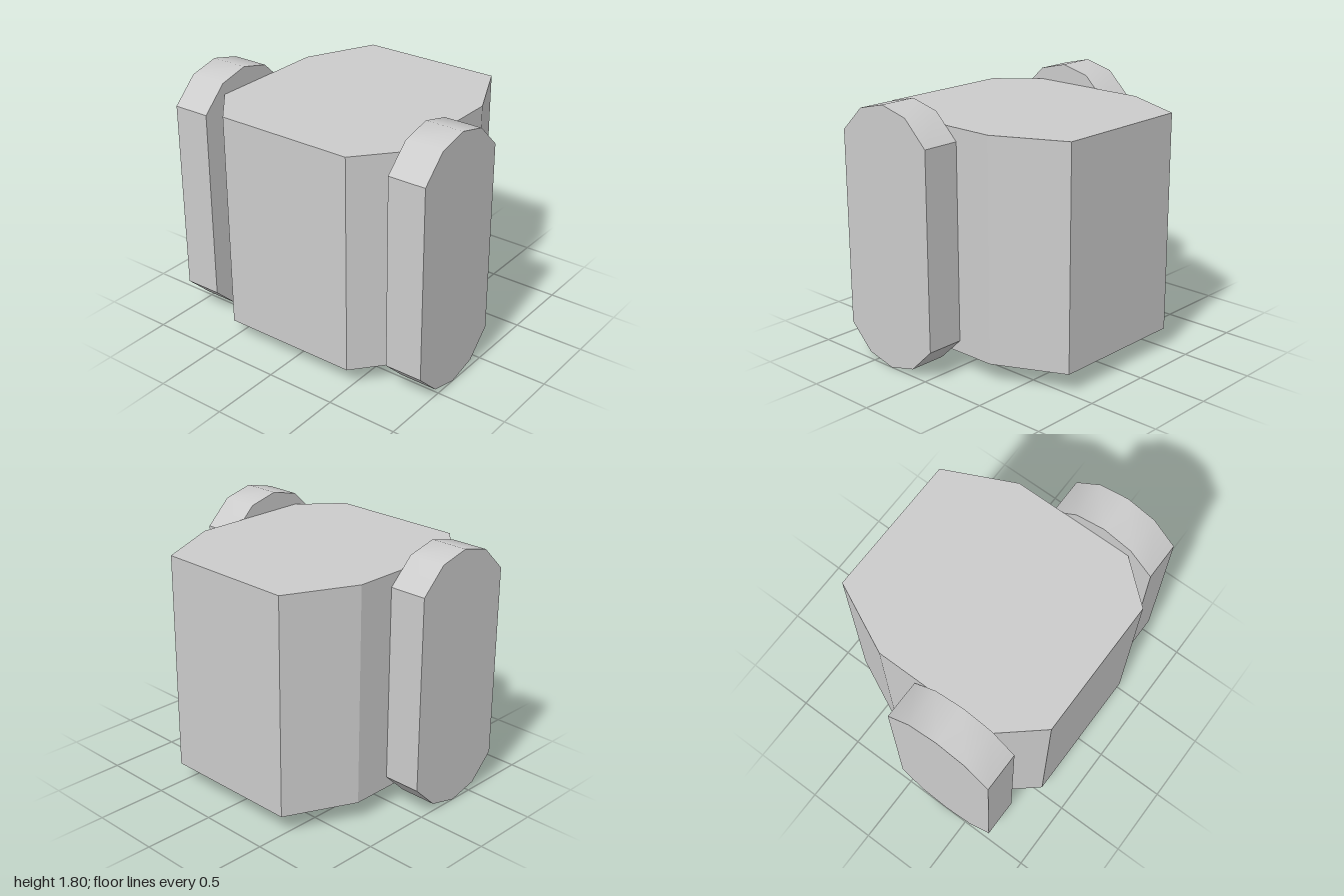
import * as THREE from 'three';
import { toCreasedNormals } from 'three/addons/utils/BufferGeometryUtils.js';

// Prism from an outline of [x, y] points
function prism(points, depth) {
  const shape = new THREE.Shape(points.map(([x, y]) => new THREE.Vector2(x, y)));
  return new THREE.ExtrudeGeometry(shape, { depth, bevelEnabled: false });
}

export function createModel() {
  const model = new THREE.Group();

  // Body: eight-sided block, longer chamfers at the back
  const half = [[0.49, 0.81], [0.73, 0.53], [0.73, -0.33], [0.503, -0.81]]; // x, z
  const outline = [
    ...half.map(([x, z]) => [x, -z]),
    ...half.slice().reverse().map(([x, z]) => [-x, -z]),
  ];
  const bodyGeometry = prism(outline, 1.53);
  bodyGeometry.rotateX(-Math.PI / 2);
  bodyGeometry.translate(0, 0.138, 0);
  const body = new THREE.Mesh(
    bodyGeometry,
    new THREE.MeshStandardMaterial({ color: 0xcccccc, flatShading: true })
  );
  body.name = 'body';
  model.add(body);

  // Side pads: tall slabs with softly rounded ends
  const cap = [[0.385, 0.678], [0.21, 0.848], [0, 0.9], [-0.21, 0.848], [-0.385, 0.678]];
  const padOutline = [...cap, ...cap.map(([z, y]) => [-z, -y])];
  const padMaterial = new THREE.MeshStandardMaterial({ color: 0xcccccc });
  for (const side of [1, -1]) {
    const geometry = prism(padOutline, 0.267);
    geometry.translate(0, 0, -0.1335);
    geometry.rotateY(Math.PI / 2);
    geometry.translate(side * 0.8665, 0.9, 0.328);
    const pad = new THREE.Mesh(toCreasedNormals(geometry, THREE.MathUtils.degToRad(38)), padMaterial);
    pad.name = side > 0 ? 'leftSidePad' : 'rightSidePad';
    model.add(pad);
  }

  return model;
}
